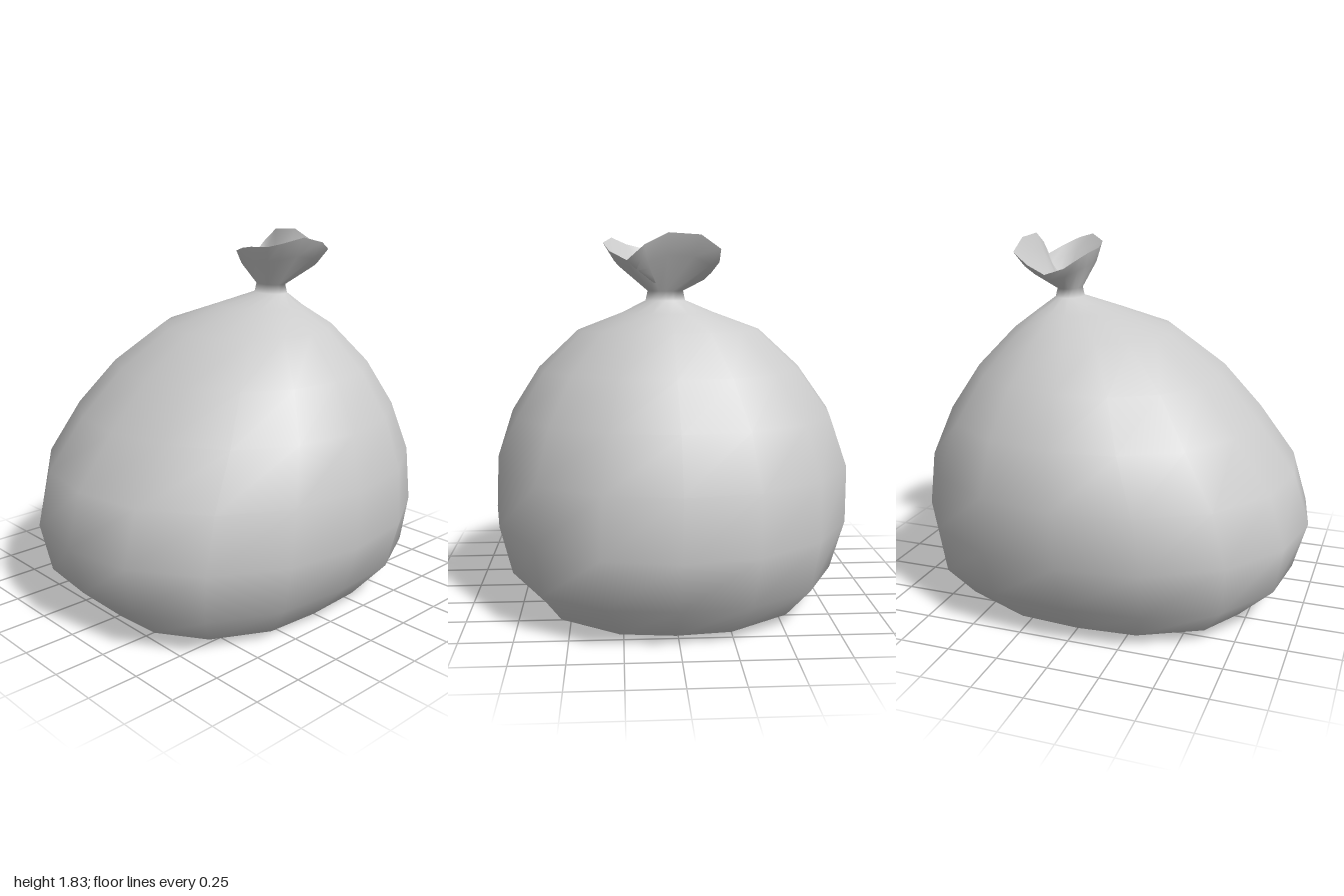
import * as THREE from 'three';

const SIDES = 16;
const material = new THREE.MeshStandardMaterial({ color: 0xcccccc, side: THREE.DoubleSide });

// Closed loop in plan: a superellipse from front to back, which may tilt in height.
function ring({ y, yBack = y, left, right, front, back, n = 2.15, lift = 0 }) {
  const cx = (left + right) / 2, rx = (left - right) / 2;
  const cz = (front + back) / 2, rz = (front - back) / 2;
  return Array.from({ length: SIDES }, (_, i) => {
    const a = (i / SIDES) * Math.PI * 2, c = Math.cos(a), s = Math.sin(a);
    const r = 1 / Math.pow(Math.abs(c) ** n + Math.abs(s) ** n, 1 / n);
    const h = THREE.MathUtils.lerp(yBack, y, (s + 1) / 2) + lift * Math.sin(2 * a) ** 4;
    return new THREE.Vector3(cx + rx * r * c, h, cz + rz * r * s);
  });
}

// Blend two loops, with separate amounts for plan and height.
function blend(a, b, plan, height) {
  return a.map((p, i) => new THREE.Vector3(
    THREE.MathUtils.lerp(p.x, b[i].x, plan),
    THREE.MathUtils.lerp(p.y, b[i].y, height),
    THREE.MathUtils.lerp(p.z, b[i].z, plan)));
}

// Smooth skin over a stack of loops.
function loft(rings) {
  const geometry = new THREE.BufferGeometry().setFromPoints(rings.flat());
  const index = [];
  for (let j = 0; j < rings.length - 1; j++) {
    for (let i = 0; i < SIDES; i++) {
      const k = (i + 1) % SIDES;
      const a = j * SIDES + i, b = j * SIDES + k;
      const c = a + SIDES, d = b + SIDES;
      index.push(a, c, b, b, c, d);
    }
  }
  geometry.setIndex(index);
  geometry.computeVertexNormals();
  return geometry;
}

// Part of a skin that keeps the normals of the whole, so the join stays smooth.
function slice(geometry, fromRow, toRow) {
  const part = geometry.clone();
  const perRow = SIDES * 6;
  part.setIndex(Array.from(geometry.index.array.slice(fromRow * perRow, toRow * perRow)));
  return part;
}

function addMesh(group, name, geometry) {
  const mesh = new THREE.Mesh(geometry, material);
  mesh.name = name;
  group.add(mesh);
}

export function createModel() {
  const group = new THREE.Group();
  group.name = 'tiedSack';

  // Sack: open squarish base, round belly, shoulders drawn back to the neck
  const body = [
    { y: 0.005, left: 0.64, right: -0.62, front: 0.72, back: -0.72, n: 4, lift: 0.045 },
    { y: 0.2, left: 0.82, right: -0.81, front: 0.93, back: -0.93, n: 2.5 },
    { y: 0.44, left: 0.9, right: -0.9, front: 1, back: -1 },
    { y: 0.7, yBack: 0.72, left: 0.885, right: -0.9, front: 0.92, back: -0.96 },
    { y: 0.95, yBack: 0.97, left: 0.8, right: -0.81, front: 0.73, back: -0.85 },
    { y: 1.17, yBack: 1.19, left: 0.66, right: -0.65, front: 0.53, back: -0.71 },
    { y: 1.36, yBack: 1.38, left: 0.46, right: -0.44, front: 0.27, back: -0.53 },
    { y: 1.46, yBack: 1.46, left: 0.24, right: -0.2, front: 0, back: -0.43 },
    { y: 1.52, left: 0.13, right: -0.06, front: -0.21, back: -0.35 },
  ].map(ring);

  // Ruffled rim of the gathered top: x, y, z
  const rim = [
    [0.33, 1.79, -0.34], [0.29, 1.815, -0.25], [0.22, 1.785, -0.17], [0.14, 1.765, -0.15],
    [0.03, 1.76, -0.14], [-0.04, 1.75, -0.15], [-0.11, 1.73, -0.17], [-0.15, 1.68, -0.24],
    [-0.18, 1.65, -0.33], [-0.21, 1.7, -0.41], [-0.21, 1.76, -0.48], [-0.12, 1.825, -0.47],
    [0.03, 1.835, -0.46], [0.14, 1.78, -0.47], [0.22, 1.71, -0.475], [0.3, 1.75, -0.42],
  ].map((p) => new THREE.Vector3(...p));

  const neck = ring({ y: 1.565, left: 0.12, right: -0.05, front: -0.22, back: -0.34 });
  const flare = blend(neck, rim, 0.75, 0.62);
  const skin = loft([...body, neck, flare, rim]);
  addMesh(group, 'sackBody', slice(skin, 0, body.length - 1));
  addMesh(group, 'gatheredTop', slice(skin, body.length - 1, body.length + 2));

  // Funnel inside the top, pinched shut at the tie
  const pinch = rim.map(() => new THREE.Vector3(0.02, 1.57, -0.31));
  addMesh(group, 'innerFold', loft([rim, blend(rim, pinch, 0.22, 0.3), blend(rim, pinch, 0.65, 0.75), pinch]));

  return group;
}
